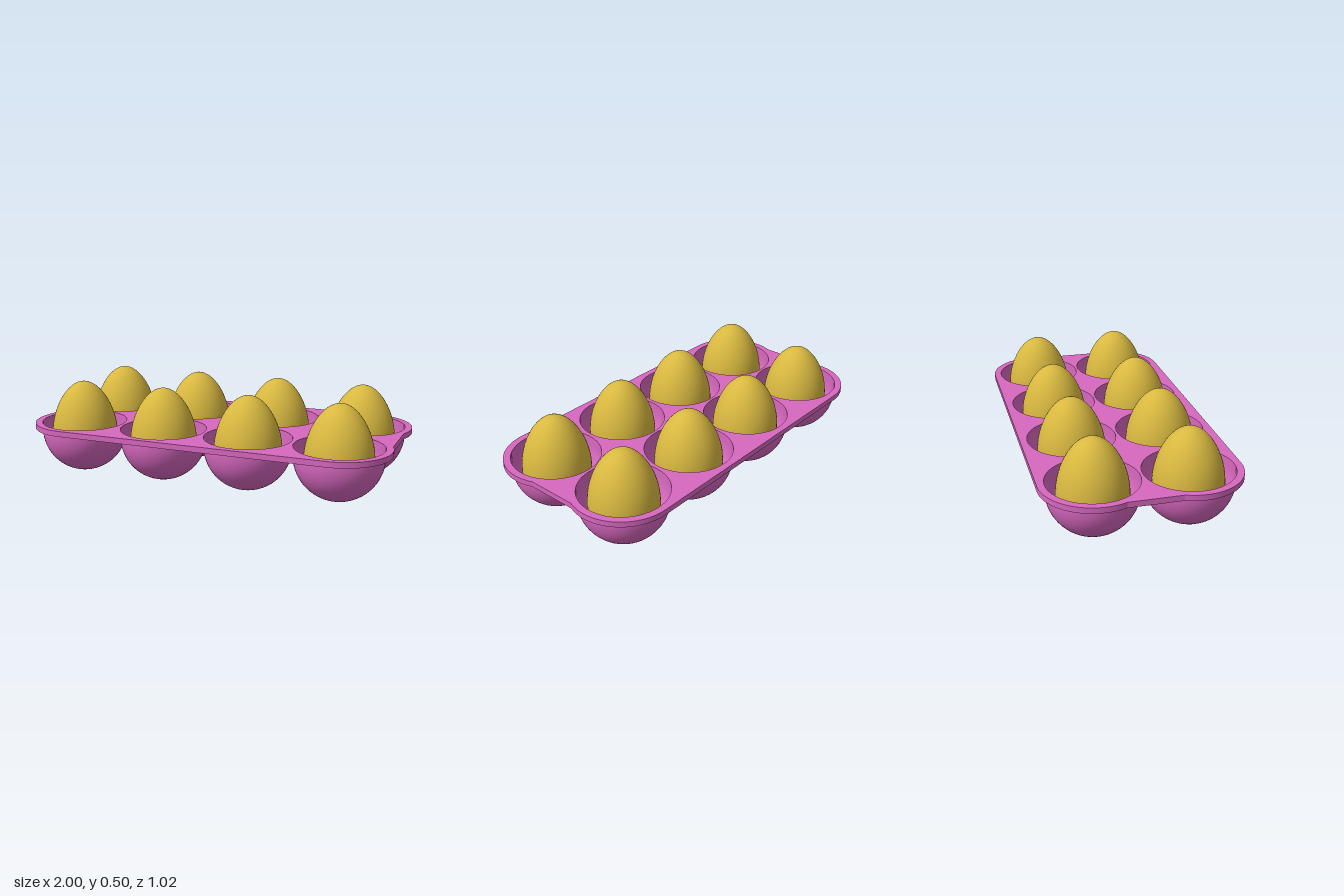
import * as THREE from 'three';

const PINK = new THREE.MeshStandardMaterial({ color: 0xd868c0, side: THREE.DoubleSide });
const YELLOW = new THREE.MeshStandardMaterial({ color: 0xd8b840 });

const XS = [-0.73, -0.243, 0.243, 0.73];
const ZS = [-0.24, 0.24];
const CUP_R = 0.2325, RIM_R = 0.27;
const PLATE_Y = 0.247, PLATE_T = 0.03;

// Flat tray: corners follow the outer cups, ends are slightly waisted, one hole per cup
function trayGeometry() {
  const cx = 0.73, cz = 0.24, endX = 0.98;
  const a = Math.acos((endX - cx) / RIM_R);
  const q = Math.PI / 2;
  const shape = new THREE.Shape();
  shape.absarc(cx, cz, RIM_R, -a, q, false);
  shape.absarc(-cx, cz, RIM_R, q, Math.PI + a, false);
  shape.absarc(-cx, -cz, RIM_R, Math.PI - a, Math.PI + q, false);
  shape.absarc(cx, -cz, RIM_R, -q, a, false);
  shape.closePath();
  for (const x of XS) for (const z of ZS) {
    const hole = new THREE.Path();
    hole.absarc(x, z, CUP_R, 0, Math.PI * 2, true);
    shape.holes.push(hole);
  }
  const geo = new THREE.ExtrudeGeometry(shape, { depth: PLATE_T, bevelEnabled: false, curveSegments: 32 });
  return geo.rotateX(-Math.PI / 2).translate(0, PLATE_Y, 0);
}

// Round-bottomed cup with a short straight collar, open at the top
function cupGeometry() {
  const pts = [];
  for (let i = 0; i <= 20; i++) {
    const t = (i / 20) * Math.PI / 2;
    pts.push(new THREE.Vector2(CUP_R * Math.sin(t), CUP_R * (1 - Math.cos(t))));
  }
  pts.push(new THREE.Vector2(CUP_R, PLATE_Y + 0.005));
  return new THREE.LatheGeometry(pts, 48);
}

// Egg: round lower half, longer tapering upper half
function eggGeometry() {
  const r = 0.18, midY = 0.2, topH = 0.3, n = 32;
  const pts = [];
  for (let i = 0; i <= n; i++) {
    const t = -Math.PI / 2 + (i / n) * Math.PI;
    const s = Math.sin(t);
    const taper = s > 0 ? 1 - 0.1 * s * s : 1;
    const radius = i === 0 || i === n ? 0 : r * Math.cos(t) * taper;
    pts.push(new THREE.Vector2(radius, midY + s * (s > 0 ? topH : r)));
  }
  return new THREE.LatheGeometry(pts, 48);
}

export function createModel() {
  const model = new THREE.Group();
  model.name = 'eggTray';
  const add = (name, geo, mat, x = 0, z = 0) => {
    const mesh = new THREE.Mesh(geo, mat);
    mesh.name = name;
    mesh.position.set(x, 0, z);
    model.add(mesh);
  };

  add('trayPlate', trayGeometry(), PINK);

  // Two rows of four cups, each holding an egg
  const cup = cupGeometry(), egg = eggGeometry();
  for (const z of ZS) for (const x of XS) {
    add('cup', cup, PINK, x, z);
    add('egg', egg, YELLOW, x, z);
  }
  return model;
}
